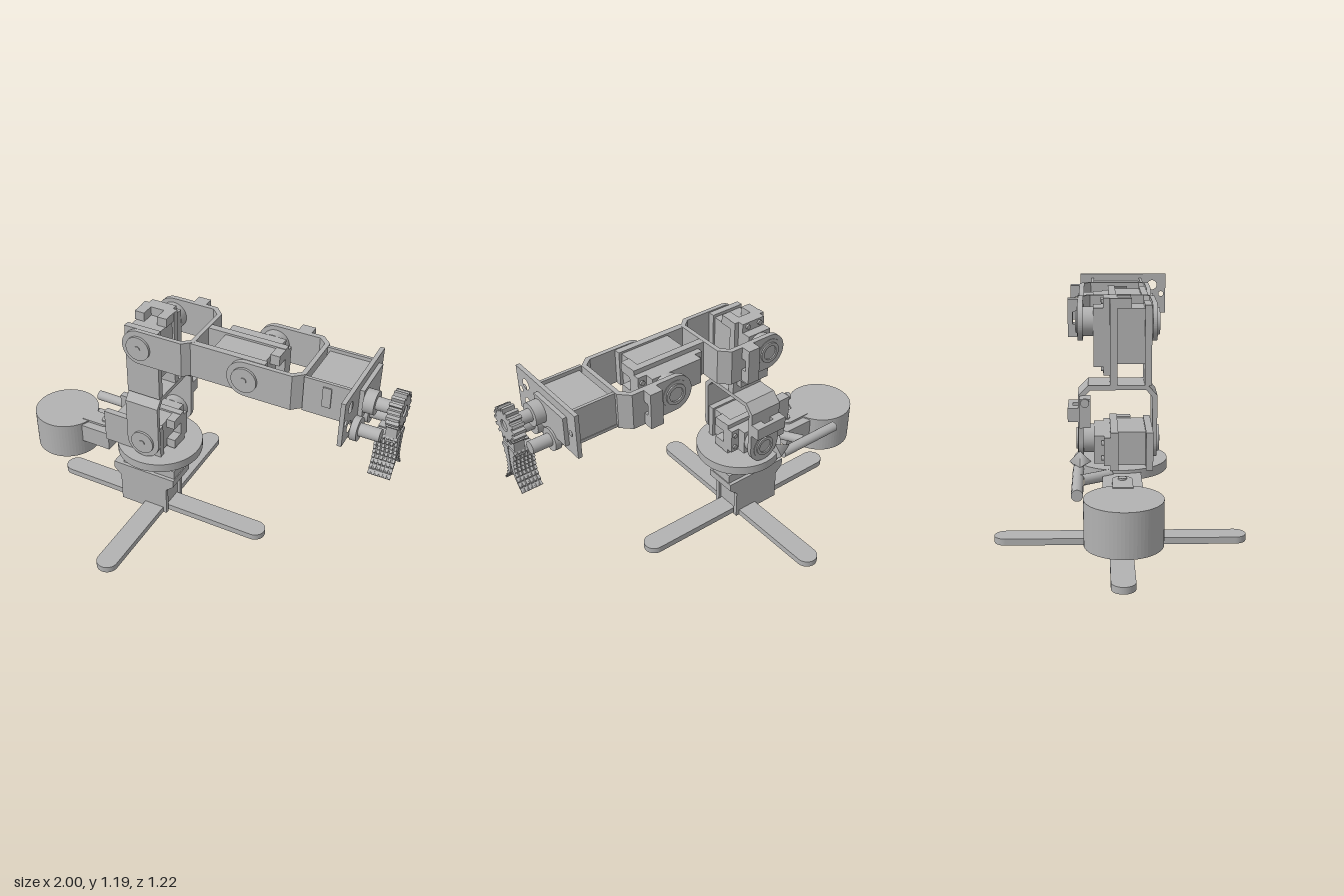
import * as THREE from 'three';

const mat = new THREE.MeshStandardMaterial({ color: 0xb2b2b2 });
mat.name = 'plain grey';

function add(parent, name, geometry, x = 0, y = 0, z = 0) {
  const m = new THREE.Mesh(geometry, mat);
  m.name = name;
  m.position.set(x, y, z);
  parent.add(m);
  return m;
}
// Box given by its limits on each axis
function box(parent, name, x0, x1, y0, y1, z0, z1) {
  return add(parent, name, new THREE.BoxGeometry(x1 - x0, y1 - y0, z1 - z0),
    (x0 + x1) / 2, (y0 + y1) / 2, (z0 + z1) / 2);
}
// Cylinder between two limits along one axis; a, b are the other two coordinates in xyz order
function rod(parent, name, axis, r, from, to, a, b, sides = 32) {
  const g = new THREE.CylinderGeometry(r, r, to - from, sides);
  const c = (from + to) / 2;
  if (axis === 'x') return add(parent, name, g.rotateZ(Math.PI / 2), c, a, b);
  if (axis === 'z') return add(parent, name, g.rotateX(Math.PI / 2), a, b, c);
  return add(parent, name, g, a, c, b);
}
const shapeOf = pts => new THREE.Shape(pts.map(p => new THREE.Vector2(p[0], p[1])));
const solid = (shape, depth) => new THREE.ExtrudeGeometry(shape, { depth, bevelEnabled: false, curveSegments: 16 });
// Outline in (z, y) pushed along x
const alongX = (shape, x0, x1) => solid(shape, x1 - x0).rotateY(Math.PI / 2).translate(x0, 0, 0);
const zy = pts => shapeOf(pts.map(([z, y]) => [-z, y]));
function hole(shape, x, y, r) {
  const h = new THREE.Path();
  h.absarc(x, y, r, 0, Math.PI * 2, true);
  shape.holes.push(h);
}

// Joint servo: axis on local z at the origin, body along local x
function servo(name, linked) {
  const g = new THREE.Group();
  g.name = name;
  box(g, 'servoBody', -0.185, 0.07, -0.078, 0.078, -0.05, 0.13);
  box(g, 'servoRear', -0.2, 0.07, -0.065, 0.065, -0.125, -0.05);
  box(g, 'mountingFlange', -0.24, 0.115, -0.065, 0.065, -0.08, -0.045);
  box(g, 'holderFront', -0.24, 0.085, -0.088, 0.088, 0.11, 0.142);
  box(g, 'holderRear', -0.24, 0.115, -0.088, 0.088, -0.05, -0.015);
  for (const s of [-1, 1]) {
    box(g, 'holderEndPost', 0.07, 0.115, s * 0.06 - 0.025, s * 0.06 + 0.025, -0.05, 0.05);
    for (const x of [-0.215, 0.095]) rod(g, 'flangeScrew', 'z', 0.012, -0.09, -0.075, x, s * 0.035, 12);
  }
  if (linked) { // walls joining the holder to the bracket before it
    box(g, 'linkWallFront', -0.285, -0.24, -0.088, 0.088, 0.11, 0.142);
    box(g, 'linkWallRear', -0.285, -0.24, -0.088, 0.088, -0.05, -0.015);
  }
  rod(g, 'rearHorn', 'z', 0.068, -0.2, -0.125, 0, 0);
  rod(g, 'frontPivot', 'z', 0.04, 0.13, 0.17, 0, 0);
  return g;
}

// Chamfered U bracket turning on the same axis, closing at x = 0.27
function bracket(name) {
  const g = new THREE.Group();
  g.name = name;
  const path = [[0, 0.168], [0.225, 0.168], [0.272, 0.125], [0.272, -0.15], [0.225, -0.197], [0, -0.197],
    [0, -0.173], [0.215, -0.173], [0.25, -0.14], [0.25, 0.117], [0.215, 0.146], [0, 0.146]];
  add(g, 'uPlate', solid(shapeOf(path.map(([x, z]) => [x, -z])), 0.178).rotateX(-Math.PI / 2).translate(0, -0.089, 0));
  for (const [z, t] of [[0.146, 0.022], [-0.197, 0.024]]) {
    const end = new THREE.Shape();
    end.absarc(0, 0, 0.089, Math.PI / 2, Math.PI * 1.5, false);
    add(g, 'roundedArmEnd', solid(end, t), 0, 0, z);
  }
  rod(g, 'pivotDisc', 'z', 0.062, 0.168, 0.18, 0, 0);
  rod(g, 'pivotScrew', 'z', 0.015, 0.18, 0.184, 0, 0, 16);
  const ring = new THREE.Shape();
  ring.absarc(0, 0, 0.052, 0, Math.PI * 2, false);
  hole(ring, 0, 0, 0.036);
  add(g, 'rearRing', solid(ring, 0.01), 0, 0, -0.207);
  // Cable clip on the rear arm
  box(g, 'clipPlate', 0.1, 0.165, -0.089, 0.089, -0.245, -0.222);
  for (const s of [-1, 1]) box(g, 'clipFoot', 0.1, 0.165, s * 0.059 - 0.03, s * 0.059 + 0.03, -0.222, -0.195);
  return g;
}

function buildBase(root) {
  const g = new THREE.Group();
  g.name = 'base';
  root.add(g);
  // Crossed feet with round ends
  for (const a of [0, Math.PI / 2]) {
    const s = new THREE.Shape();
    s.absarc(0.555, 0, 0.055, -Math.PI / 2, Math.PI / 2, false);
    s.absarc(-0.555, 0, 0.055, Math.PI / 2, Math.PI * 1.5, false);
    add(g, 'foot', solid(s, 0.033).rotateX(-Math.PI / 2).rotateY(a), -0.25, 0, 0);
  }
  // Base servo and its flared holder
  box(g, 'baseServo', -0.44, -0.19, 0.03, 0.2, -0.066, 0.066);
  for (const s of [-1, 1]) box(g, 'holderWall', -0.45, -0.175, 0, 0.18, s * 0.075 - 0.011, s * 0.075 + 0.011);
  const flare = shapeOf([[-0.45, 0.16], [-0.175, 0.16], [-0.13, 0.2], [-0.13, 0.24], [-0.49, 0.24], [-0.49, 0.2]]);
  add(g, 'flaredRim', solid(flare, 0.172), 0, 0, -0.086);
  box(g, 'servoTop', -0.44, -0.135, 0.24, 0.29, -0.068, 0.068);
  rod(g, 'shaftCollar', 'y', 0.063, 0.29, 0.335, -0.25, 0);
  rod(g, 'shaft', 'y', 0.026, 0.335, 0.37, -0.25, 0, 24);
  rod(g, 'turntable', 'y', 0.22, 0.38, 0.427, -0.25, 0, 64);
}

function buildCounterweight(root) {
  const g = new THREE.Group();
  g.name = 'counterweight';
  root.add(g);
  const can = [[0.05, 0.25], [0.05, 0.217], [0.17, 0.217], [0.17, 0.405]].map(p => new THREE.Vector2(...p));
  const flat = new THREE.LatheGeometry(can, 64).toNonIndexed();
  flat.computeVertexNormals();
  add(g, 'can', flat, -0.83, 0, 0);
  rod(g, 'canLid', 'y', 0.17, 0.405, 0.42, -0.83, 0, 64);
  rod(g, 'canRecess', 'y', 0.051, 0.245, 0.255, -0.83, 0);
  box(g, 'carrier', -0.68, -0.515, 0.31, 0.4, -0.088, 0.088);
  box(g, 'carrierStrip', -0.68, -0.42, 0.39, 0.412, -0.088, 0.088);
  box(g, 'lug', -0.7, -0.585, 0.4, 0.424, -0.045, 0.045);
  rod(g, 'lugEnd', 'y', 0.045, 0.4, 0.424, -0.585, 0);
  rod(g, 'lugScrew', 'y', 0.02, 0.424, 0.432, -0.585, 0, 16);
  // Slanted stay and push rod behind the turntable
  rod(g, 'pushRod', 'x', 0.026, -0.75, -0.38, 0.405, -0.197, 20);
  const stay = new THREE.TubeGeometry(new THREE.LineCurve3(
    new THREE.Vector3(-0.54, 0.405, -0.18), new THREE.Vector3(-0.46, 0.405, -0.05)), 1, 0.025, 16);
  add(g, 'stay', stay);
  add(g, 'rodTip', new THREE.ConeGeometry(0.05, 0.1, 4).rotateZ(Math.PI / 2), -0.385, 0.43, -0.19);
}

function buildGripper(root) {
  const g = new THREE.Group();
  g.name = 'gripper';
  root.add(g);
  box(g, 'gripperServo', 0.58, 0.79, 0.995, 1.145, -0.125, 0.125);
  box(g, 'servoCradle', 0.565, 0.79, 0.985, 1.0, -0.14, 0.14);
  for (const z of [-0.137, 0.127]) box(g, 'cradleSide', 0.565, 0.79, 0.985, 1.162, z, z + 0.015);
  box(g, 'cradleSlot', 0.655, 0.695, 1.04, 1.14, 0.14, 0.148);
  // Face plate with mounting holes
  const face = zy([[0.28, 0.965], [0.28, 1.185], [-0.2, 1.185], [-0.2, 0.965], [-0.055, 0.965],
    [-0.045, 0.935], [-0.015, 0.917], [0.135, 0.917], [0.17, 0.935], [0.185, 0.965]]);
  for (const [z, y, r] of [[0.205, 1.123, 0.026], [0.205, 1.023, 0.026], [0.255, 1.073, 0.014], [-0.157, 1.073, 0.013]])
    hole(face, -z, y, r);
  add(g, 'facePlate', alongX(face, 0.785, 0.805));
  box(g, 'servoFace', 0.805, 0.825, 1.0, 1.145, -0.135, 0.1);
  rod(g, 'driveHub', 'x', 0.055, 0.825, 0.875, 1.075, 0.06);
  rod(g, 'driveShaft', 'x', 0.03, 0.875, 0.94, 1.075, 0.06);
  for (const z of [0.135, -0.015]) {
    rod(g, 'jawPivotBase', 'x', 0.055, 0.805, 0.835, 0.97, z);
    rod(g, 'jawPivot', 'x', 0.03, 0.835, 0.93, 0.97, z);
  }
  // Toothed drive wheel
  const teeth = [], n = 16;
  for (let i = 0; i < n; i++)
    for (const [k, r] of [[-0.32, 0.066], [-0.2, 0.086], [0.2, 0.086], [0.32, 0.066]]) {
      const a = (i + k) / n * Math.PI * 2;
      teeth.push([-0.06 + r * Math.cos(a), 1.075 + r * Math.sin(a)]);
    }
  const wheel = shapeOf(teeth);
  hole(wheel, -0.06, 1.075, 0.027);
  add(g, 'driveWheel', alongX(wheel, 0.94, 0.998));
  rod(g, 'wheelScrew', 'x', 0.027, 0.93, 0.99, 1.075, 0.06);
  box(g, 'jawStem', 0.94, 0.99, 0.93, 1.03, 0.01, 0.11);
  // Two curved jaws made of toothed layers on a thin blade
  const outer = [[0.048, 0.96], [0.03, 0.9], [0.026, 0.86], [0.03, 0.82], [0.045, 0.78], [0.07, 0.742]];
  const inner = [[0.06, 0.765], [0.028, 0.795], [0.008, 0.83], [0.003, 0.87], [0.003, 0.96]];
  const edge = new THREE.SplineCurve(outer.map(p => new THREE.Vector2(...p))).getPoints(18);
  for (const s of [-1, 1]) {
    const place = pts => zy(pts.map(([u, y]) => [0.06 + s * u, y]));
    const saw = edge.map((p, i) => [p.x + (i % 2 ? 0.012 : 0), p.y]);
    add(g, 'jawBlade', alongX(place([...outer, ...inner]), 0.895, 0.995));
    for (let i = 0; i < 6; i++) add(g, 'jawTeeth', alongX(place([...saw, ...inner]), 0.892 + i * 0.0185, 0.904 + i * 0.0185));
  }
}

export function createModel() {
  const root = new THREE.Group();
  root.name = 'robotArm';
  buildBase(root);
  buildCounterweight(root);
  // Joints: [name, x, y, servo turn, bracket turn]
  const up = Math.PI / 2;
  for (const [name, x, y, servoTurn, bracketTurn] of
    [['shoulder', -0.25, 0.52, 0, up], ['elbow', -0.25, 1.075, up, 0], ['wrist', 0.295, 1.075, 0, 0]]) {
    const sv = servo(name + 'Servo', name !== 'shoulder');
    const br = bracket(name + 'Bracket');
    sv.rotation.z = servoTurn;
    br.rotation.z = bracketTurn;
    for (const p of [sv, br]) { p.position.set(x, y, 0); root.add(p); }
  }
  box(root, 'cableHolder', -0.41, -0.325, 0.61, 0.745, -0.19, -0.14);
  rod(root, 'cableHolderPin', 'x', 0.02, -0.428, -0.41, 0.73, -0.165, 16);
  buildGripper(root);
  return root;
}
